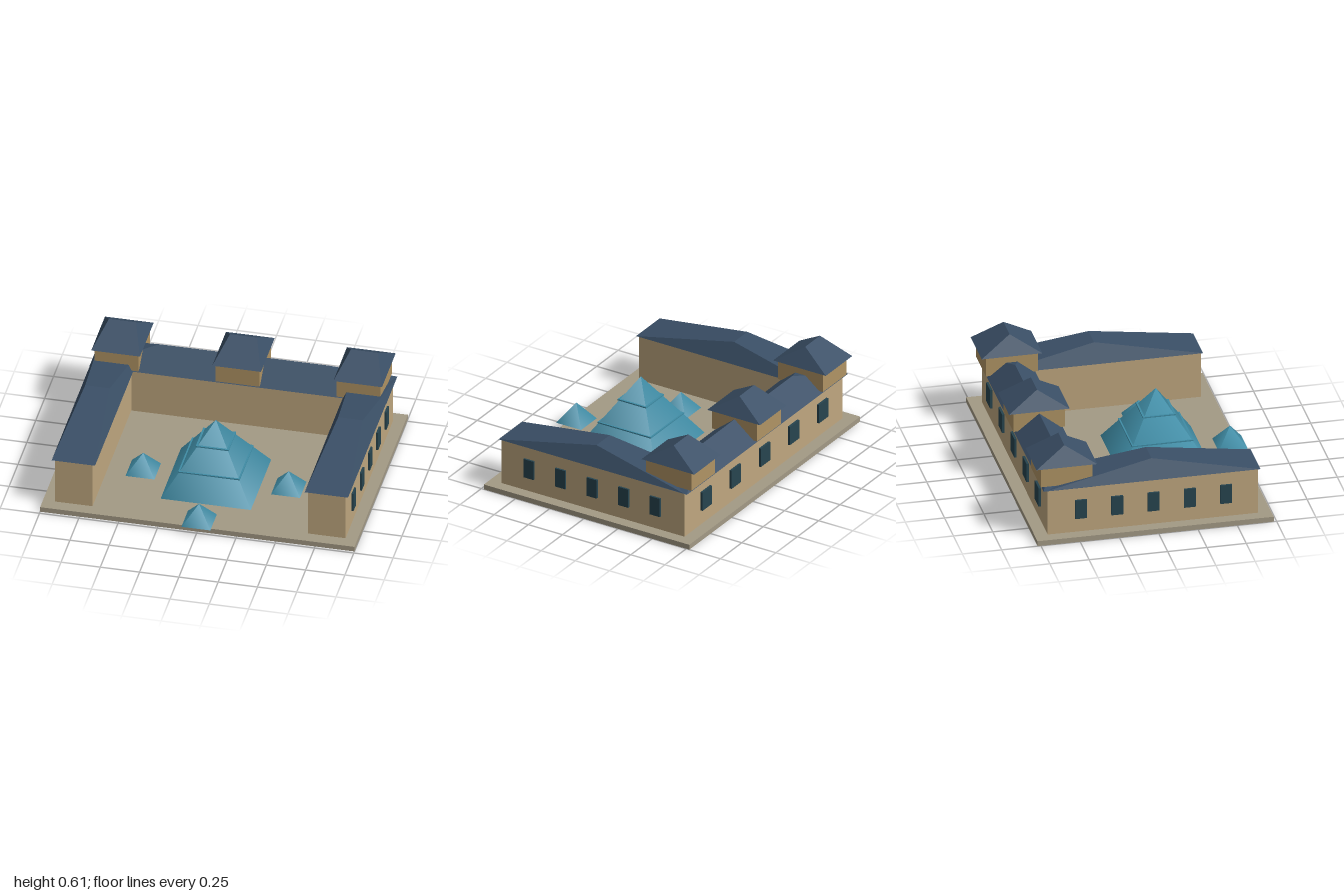
import * as THREE from 'three';

const paint = (color, flatShading = true) => new THREE.MeshStandardMaterial({ color, flatShading });

export function createModel() {
  const model = new THREE.Group();
  const stone = paint(0xa39a85), wall = paint(0xbfa77f), towerWall = paint(0xb09464);
  const slate = paint(0x3a4f66), pane = paint(0x27444f), glass = paint(0x3f8ca5, false);

  const add = (name, geometry, material) => {
    const mesh = new THREE.Mesh(geometry, material);
    mesh.name = name;
    model.add(mesh);
    return mesh;
  };

  // Box given by its extents on each axis
  const block = (name, [x0, x1], [y0, y1], [z0, z1], material) =>
    add(name, new THREE.BoxGeometry(x1 - x0, y1 - y0, z1 - z0), material)
      .position.set((x0 + x1) / 2, (y0 + y1) / 2, (z0 + z1) / 2);

  // Hipped roof with its ridge along x; w, d and ridge are half sizes
  const hipRoof = (name, x, y, z, w, d, h, ridge) => {
    const A = [-w, 0, d], B = [w, 0, d], C = [w, 0, -d], D = [-w, 0, -d];
    const E = [-ridge, h, 0], F = [ridge, h, 0];
    const corners = [A, B, F, A, F, E, B, C, F, C, D, E, C, E, F, D, A, E, A, D, C, A, C, B];
    const geometry = new THREE.BufferGeometry();
    geometry.setAttribute('position', new THREE.Float32BufferAttribute(corners.flat(), 3));
    geometry.computeVertexNormals();
    add(name, geometry, slate).position.set(x, y, z);
  };

  // Square pyramid with its sides along the axes
  const pyramid = (name, x, z, half, height) => {
    const geometry = new THREE.ConeGeometry(half * Math.SQRT2, height, 4);
    geometry.rotateY(Math.PI / 4);
    add(name, geometry, glass).position.set(x, 0.048 + height / 2, z);
  };

  // Courtyard slab
  block('plaza', [-1, 1], [0, 0.034], [-0.772, 0.732], stone);

  // Rear range
  block('rearRange', [-0.685, 0.685], [0.034, 0.346], [-0.69, -0.44], wall);
  hipRoof('rearRoof', 0, 0.346, -0.565, 0.945, 0.155, 0.124, 0.535);

  // Side wings, with windows on the outer walls
  for (const s of [-1, 1]) {
    const side = s > 0 ? 'left' : 'right';
    const span = (a, b) => (s > 0 ? [a, b] : [-b, -a]);
    block(side + 'Wing', span(0.685, 0.925), [0.034, 0.346], [-0.69, 0.65], wall);
    hipRoof(side + 'WingRoof', s * 0.805, 0.346, -0.02, 0.138, 0.68, 0.124, 0.078);
    for (let i = -2; i <= 2; i++) {
      const z = -0.018 + i * 0.231;
      block(side + 'WingWindow', span(0.92, 0.938), [0.128, 0.256], [z - 0.037, z + 0.037], pane);
    }
  }

  // Rear windows
  for (let i = -2; i <= 2; i++) {
    const x = i * 0.341;
    block('rearWindow', [x - 0.055, x + 0.055], [0.135, 0.263], [-0.705, -0.685], pane);
  }

  // Roof pavilions
  for (const x of [-0.77, 0, 0.77]) {
    block('pavilion', [x - 0.139, x + 0.139], [0.36, 0.492], [-0.73, -0.4], towerWall);
    hipRoof('pavilionRoof', x, 0.49, -0.568, 0.155, 0.193, 0.12, 0.086);
  }

  // Great pyramid with two thin glazing bands
  pyramid('greatPyramid', 0, 0.208, 0.287, 0.443);
  for (const [y, half] of [[0.2, 0.196], [0.345, 0.105]]) {
    block('pyramidBand', [-half, half], [y - 0.004, y + 0.004], [0.208 - half, 0.208 + half], glass);
  }

  // Small pyramids
  for (const [x, z] of [[-0.463, 0.205], [0.463, 0.205], [0, 0.68]]) {
    pyramid('smallPyramid', x, z, 0.092, 0.126);
  }

  return model;
}
